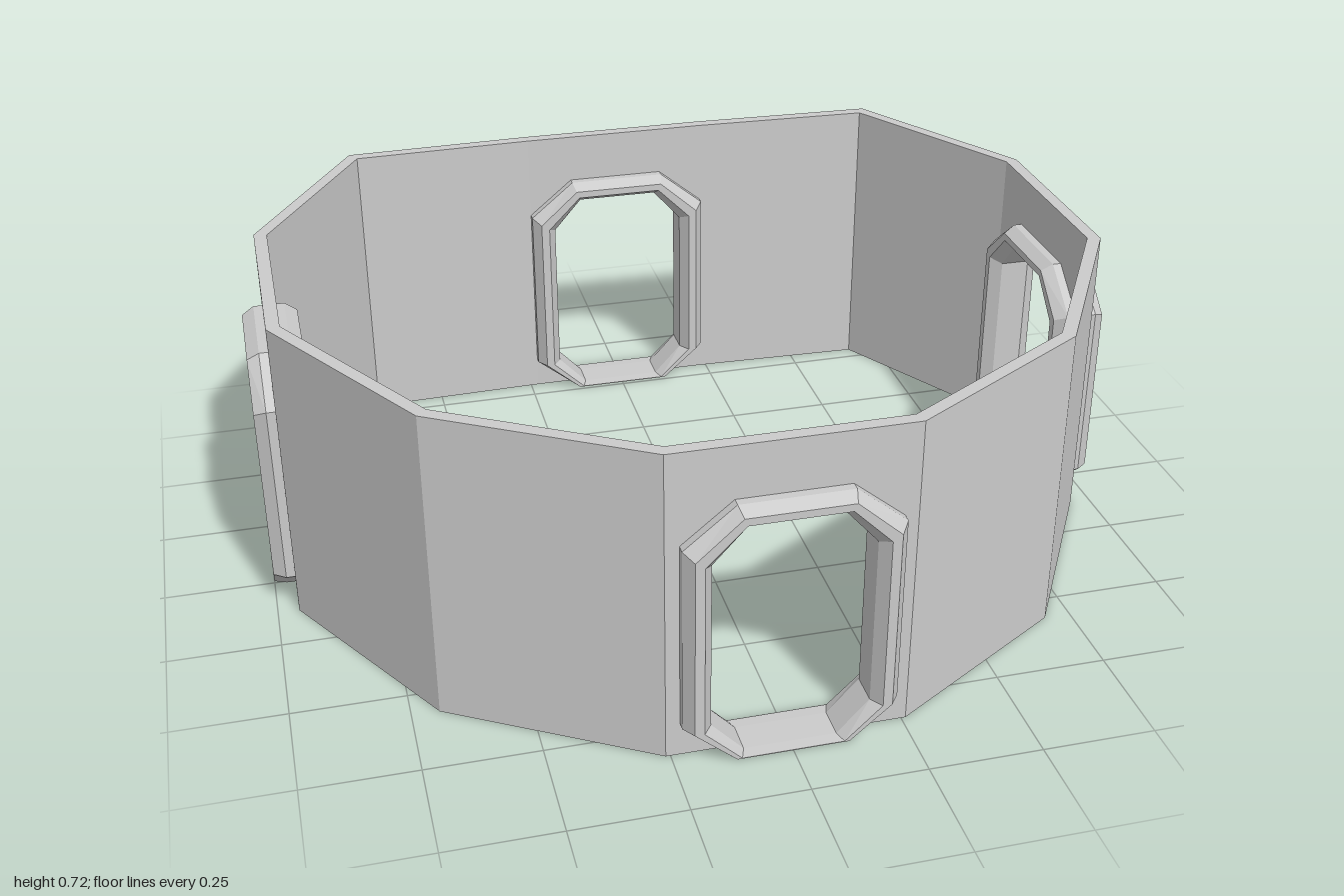
import * as THREE from 'three';

const HEIGHT = 0.72, THICK = 0.03;
const material = new THREE.MeshStandardMaterial({ color: 0xcccccc, flatShading: true });

// Outer corners of the wall in plan (x, z), going round from the front
const plan = [
  [-0.26, 0.83], [0.26, 0.83], [0.69, 0.57], [0.952, 0.125], [0.952, -0.375], [0.69, -0.82],
  [0.23, -0.835], [-0.23, -0.835], [-0.69, -0.82], [-0.952, -0.375], [-0.952, 0.125], [-0.69, 0.57],
].map(([x, z]) => new THREE.Vector2(x, z));
const doorPanels = { 0: 'front', 3: 'left', 6: 'back', 9: 'right' };

const at = (i) => plan[(i + plan.length) % plan.length];
const outward = (i) => {
  const d = at(i + 1).clone().sub(at(i)).normalize();
  return new THREE.Vector2(-d.y, d.x);
};
// Mitred inner corners
const inner = plan.map((p, i) => {
  const a = outward(i - 1), b = outward(i);
  return p.clone().addScaledVector(a.clone().add(b), -THICK / (1 + a.dot(b)));
});

// Octagonal doorway outline, t = 0 at the opening and 1 at the outside of the frame
function doorway(t) {
  const bx = 0.1 + 0.03 * t, sx = 0.17 + 0.06 * t, tx = 0.1 + 0.02 * t;
  const by = 0.005 * (1 - t), ly = 0.08, hy = 0.47 + 0.04 * t, ty = 0.55 + 0.05 * t;
  return [[bx, by], [sx, ly], [sx, hy], [tx, ty], [-tx, ty], [-sx, hy], [-sx, ly], [-bx, by]];
}

// One flat wall panel, bent into place between its mitred corners
function wallPanel(i) {
  const a = at(i), b = at(i + 1), w = a.distanceTo(b);
  const door = i in doorPanels ? doorway(0.5).reverse() : [];
  if (door.length) {
    door[0][1] = 0;
    door[door.length - 1][1] = 0;
  }
  const outline = [[-w / 2, 0], ...door, [w / 2, 0], [w / 2, HEIGHT], [-w / 2, HEIGHT]];
  const shape = new THREE.Shape(outline.map(([x, y]) => new THREE.Vector2(x, y)));
  const geo = new THREE.ExtrudeGeometry(shape, { depth: 1, bevelEnabled: false });
  const pos = geo.attributes.position;
  const ia = inner[i], ib = inner[(i + 1) % inner.length];
  for (let k = 0; k < pos.count; k++) {
    const u = pos.getX(k) / w + 0.5;
    const p = ia.clone().lerp(ib, u).lerp(a.clone().lerp(b, u), pos.getZ(k));
    pos.setXYZ(k, p.x, pos.getY(k), p.y);
  }
  geo.computeVertexNormals();
  const mesh = new THREE.Mesh(geo, material);
  mesh.name = 'wallPanel' + (i + 1);
  return mesh;
}

// Door frame: a bevelled cross-section carried round the doorway outline
function frameGeometry() {
  const section = [
    [1, -0.035], [1, 0.035], [0.67, 0.0625], [0.33, 0.0625],
    [0, 0.035], [0, -0.035], [0.33, -0.0625], [0.67, -0.0625],
  ];
  const n = section.length, points = [], index = [];
  section.forEach(([t, d]) => doorway(t).forEach(([x, y]) => points.push(x, y, d)));
  for (let j = 0; j < n; j++) {
    for (let i = 0; i < 8; i++) {
      const j2 = (j + 1) % n, i2 = (i + 1) % 8;
      const a = j * 8 + i, b = j * 8 + i2, c = j2 * 8 + i2, d = j2 * 8 + i;
      index.push(a, b, c, a, c, d);
    }
  }
  const geo = new THREE.BufferGeometry();
  geo.setAttribute('position', new THREE.Float32BufferAttribute(points, 3));
  geo.setIndex(index);
  const flat = geo.toNonIndexed();
  flat.computeVertexNormals();
  return flat;
}

export function createModel() {
  const model = new THREE.Group();
  model.name = 'ringWall';

  const wall = new THREE.Group();
  wall.name = 'wall';
  plan.forEach((_, i) => wall.add(wallPanel(i)));
  model.add(wall);

  // Four frames, each centred in the thickness of its panel
  const frame = frameGeometry();
  for (const [key, side] of Object.entries(doorPanels)) {
    const i = Number(key), n = outward(i);
    const mid = at(i).clone().lerp(at(i + 1), 0.5).addScaledVector(n, -THICK / 2);
    const mesh = new THREE.Mesh(frame, material);
    mesh.name = side + 'DoorFrame';
    mesh.position.set(mid.x, 0, mid.y);
    mesh.rotation.y = Math.atan2(n.x, n.y);
    model.add(mesh);
  }
  return model;
}
